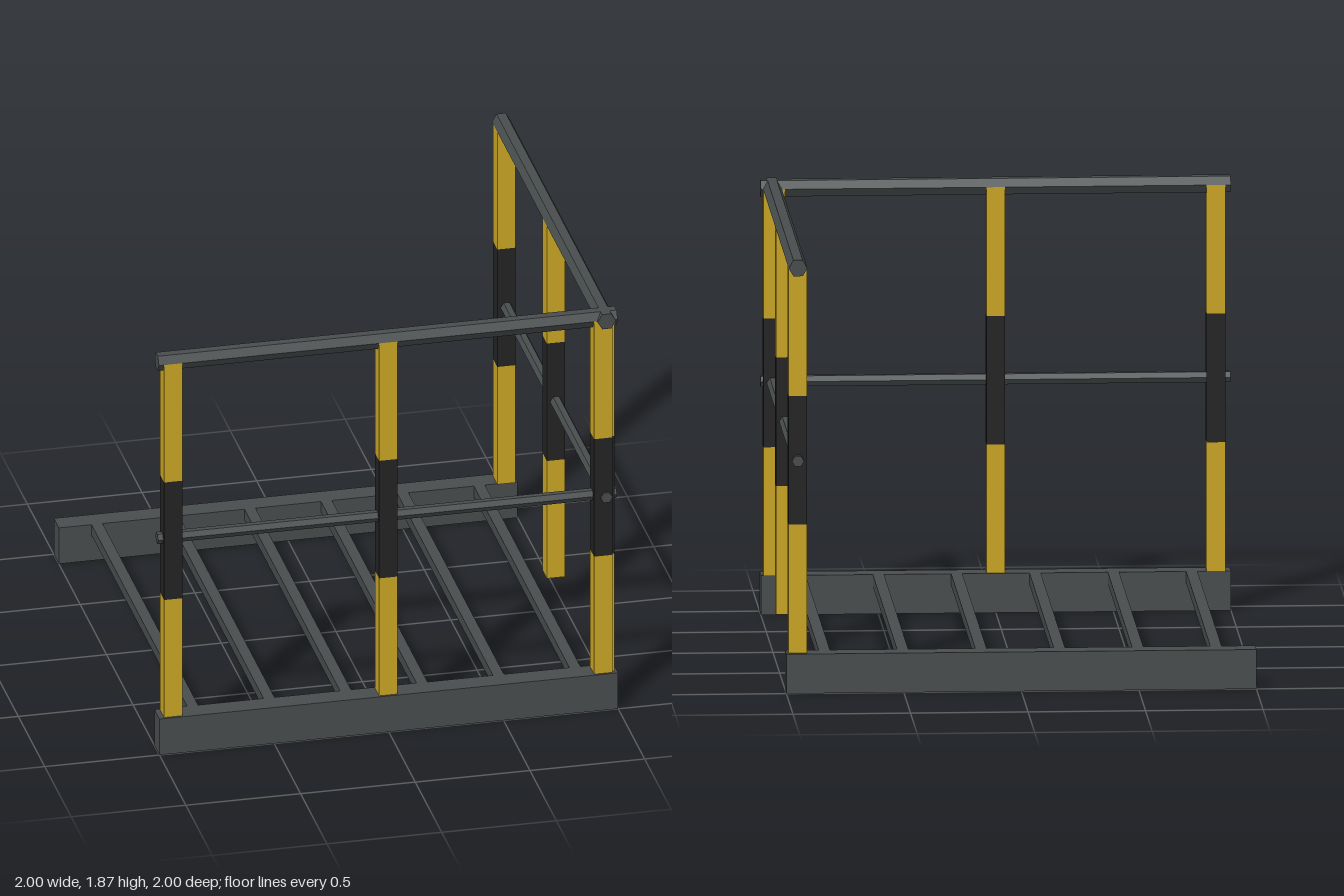
import * as THREE from 'three';

export function createModel() {
  const mat = (name, color) => {
    const m = new THREE.MeshStandardMaterial({ color });
    m.name = name;
    return m;
  };
  const steel = mat('dark grey steel', 0x484d4d);
  const yellow = mat('safety yellow', 0xcca724);
  const black = mat('warning black', 0x242424);

  const model = new THREE.Group();
  model.name = 'guardedPlatform';

  const box = (parent, name, material, w, h, d, x, y, z) => {
    const mesh = new THREE.Mesh(new THREE.BoxGeometry(w, h, d), material);
    mesh.name = name;
    mesh.position.set(x, y, z);
    parent.add(mesh);
  };

  // Base frame: two beams joined by six rungs
  const base = new THREE.Group();
  base.name = 'baseFrame';
  model.add(base);
  for (const s of [1, -1]) {
    box(base, s > 0 ? 'frontBeam' : 'backBeam', steel, 2, 0.17, 0.096, 0, 0.085, s * 0.952);
  }
  for (let i = 0; i < 6; i++) {
    box(base, 'rung', steel, 0.048, 0.05, 1.82, (i - 2.5) / 3, 0.145, 0);
  }

  // Striped post: yellow, black, yellow thirds
  const bottom = 0.17, third = 0.555, width = 0.08;
  const addPost = (parent, x, z) => {
    const post = new THREE.Group();
    post.name = 'post';
    [yellow, black, yellow].forEach((m, i) =>
      box(post, m === black ? 'blackBand' : 'yellowBand', m, width, third, width, 0, bottom + third * (i + 0.5), 0));
    post.position.set(x, 0, z);
    parent.add(post);
  };

  // Hexagonal rail running along x or z, with a flat side on top
  const addRail = (parent, name, radius, y, alongZ) => {
    const g = new THREE.CylinderGeometry(radius, radius, 2, 6).toNonIndexed();
    g.rotateZ(Math.PI / 2);
    if (alongZ) g.rotateY(Math.PI / 2);
    g.computeVertexNormals();
    const rail = new THREE.Mesh(g, steel);
    rail.name = name;
    rail.position.set(alongZ ? 0.95 : 0, y, alongZ ? 0 : 0.95);
    parent.add(rail);
  };

  // Two guard rails, one across the front and one on the left side
  for (const alongZ of [false, true]) {
    const guard = new THREE.Group();
    guard.name = alongZ ? 'leftGuard' : 'frontGuard';
    for (const t of [-0.937, 0, 0.937]) {
      if (alongZ) addPost(guard, 0.95, t);
      else addPost(guard, t, 0.95);
    }
    addRail(guard, 'topRail', 0.04, 1.835, alongZ);
    addRail(guard, 'midRail', 0.026, 1.002, alongZ);
    model.add(guard);
  }

  return model;
}
